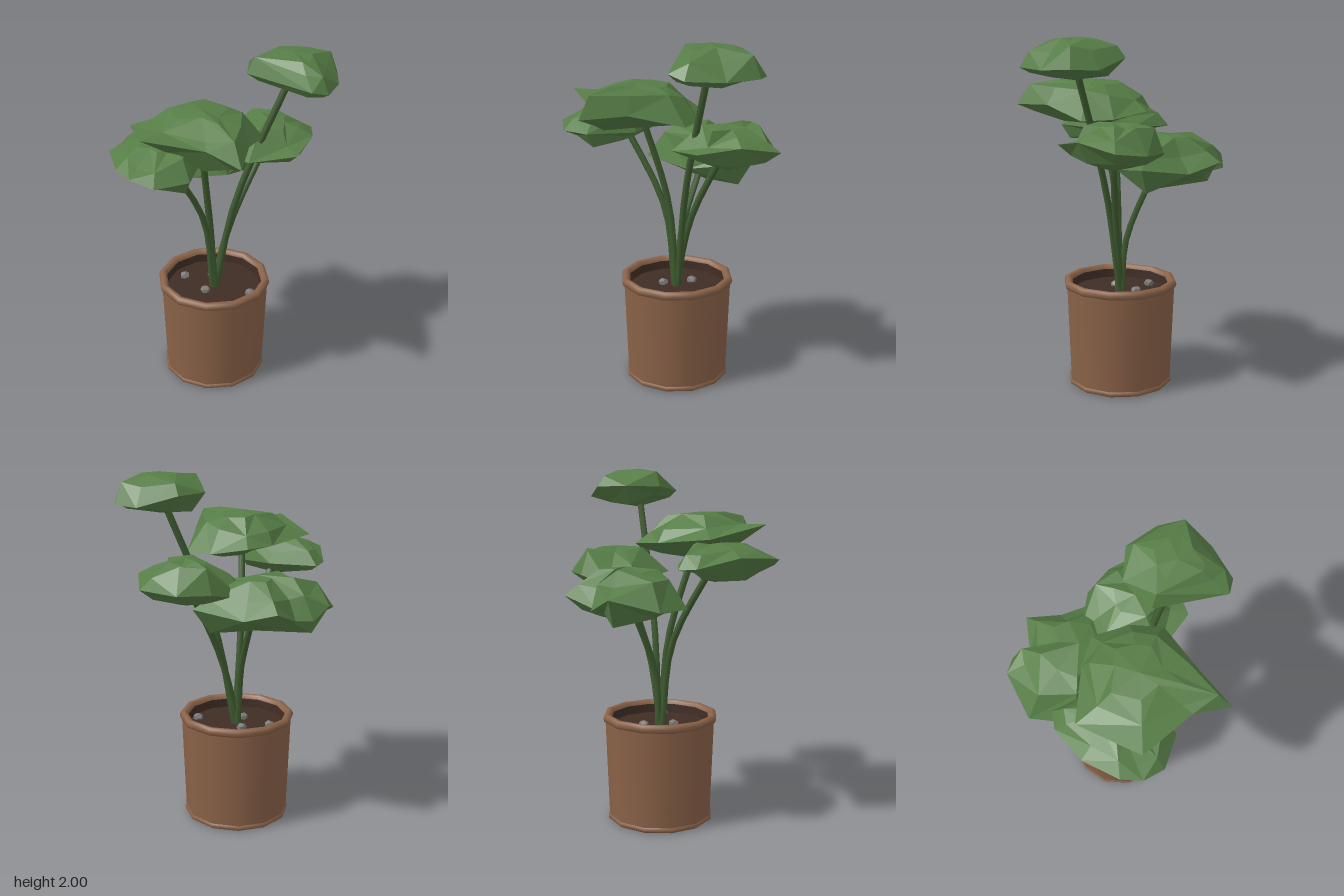
import * as THREE from 'three';

const mat = (color, extra = {}) => new THREE.MeshStandardMaterial({ color, ...extra });
const LEAF = mat(0x567d46, { flatShading: true });
const STEM = mat(0x3f5c30);
const CLAY = mat(0x8a6248, { side: THREE.DoubleSide });
const SOIL = mat(0x3f2d25, { side: THREE.DoubleSide });
const STONE = mat(0x7d7a78, { flatShading: true });

const PX = -0.03, PZ = -0.035; // pot axis

let seed = 7;
const rand = () => (seed = (seed * 16807) % 2147483647) / 2147483647;

function add(parent, name, geometry, material, x = 0, y = 0, z = 0) {
  const mesh = new THREE.Mesh(geometry, material);
  mesh.name = name;
  mesh.position.set(x, y, z);
  parent.add(mesh);
  return mesh;
}

// Faceted leaf mass: uneven rings shrunk from the outline [x, z] towards the core,
// with the outline's height leaning along x, capped above and below
function clumpGeometry({ outline, core: [cx, cz], low, high, lean }) {
  const n = outline.length, h = high - low;
  const ring = (scale, wobble, from, to, tilt) => outline.map(([x, z]) => {
    const k = scale + (rand() - 0.5) * wobble;
    const level = from + (to - from) * rand();
    return [cx + (x - cx) * k, low + h * level + tilt * (x - cx), cz + (z - cz) * k];
  });
  const loops = [
    ring(0.42, 0.2, 0.88, 1, 0),
    ring(0.74, 0.24, 0.58, 0.92, lean * 0.5),
    ring(1, 0, 0.32, 0.58, lean),
    ring(0.7, 0.3, 0.02, 0.36, 0),
  ];
  const pos = [...loops.flat(), [cx, high, cz], [cx, low, cz]].flat();
  const top = loops.length * n, bottom = top + 1, last = top - n;
  const index = [];
  for (let i = 0; i < n; i++) {
    const j = (i + 1) % n;
    index.push(top, j, i, bottom, last + i, last + j);
    for (let r = 0; r < loops.length - 1; r++) {
      const a = r * n + i, b = r * n + j, c = b + n, d = a + n;
      if ((i + r) % 2) index.push(a, b, c, a, c, d);
      else index.push(a, b, d, b, c, d);
    }
  }
  const g = new THREE.BufferGeometry();
  g.setAttribute('position', new THREE.Float32BufferAttribute(pos, 3));
  g.setIndex(index);
  const flat = g.toNonIndexed();
  flat.computeVertexNormals();
  return flat;
}

// Each clump: height range, core [x, z], bend of its stem, outline running left-back-right-front
const CLUMPS = [
  { name: 'topClump', low: 1.78, high: 2, lean: -0.12, core: [0.35, 0.14], bend: [0.08, 1.12, 0.02],
    outline: [[0.11, 0.09], [0.2, -0.09], [0.39, -0.14], [0.58, -0.04], [0.64, 0.09],
      [0.56, 0.26], [0.42, 0.41], [0.32, 0.42]] },
  { name: 'largeClump', low: 1.5, high: 1.76, lean: -0.14, core: [-0.17, 0.13], bend: [-0.07, 1.05, -0.01],
    outline: [[-0.48, -0.1], [-0.17, -0.18], [0, -0.19], [0.14, -0.03], [0.19, 0.14],
      [0, 0.38], [-0.135, 0.6], [-0.25, 0.43], [-0.54, 0.27]] },
  { name: 'leftClump', low: 1.39, high: 1.61, lean: -0.08, core: [-0.36, 0.06], bend: [-0.1, 1.02, -0.01],
    outline: [[-0.62, -0.02], [-0.5, -0.21], [-0.41, -0.26], [-0.22, -0.08], [-0.17, 0.15],
      [-0.32, 0.38], [-0.51, 0.38], [-0.61, 0.3], [-0.645, 0.19]] },
  { name: 'rightClump', low: 1.3, high: 1.56, lean: 0.14, core: [0.31, -0.06], bend: [0.08, 0.98, -0.03],
    outline: [[0, -0.18], [0.1, -0.3], [0.31, -0.33], [0.48, -0.27], [0.62, -0.13],
      [0.52, 0.08], [0.35, 0.23], [0.1, 0.15]] },
  { name: 'backClump', low: 1.16, high: 1.47, lean: 0, core: [-0.01, -0.26], bend: [-0.03, 0.85, -0.07],
    outline: [[-0.43, -0.4], [-0.25, -0.59], [-0.135, -0.61], [-0.08, -0.53], [0.09, -0.61],
      [0.19, -0.45], [0.36, -0.22], [0.05, -0.03], [-0.37, -0.15]] },
];

export function createModel() {
  const model = new THREE.Group();
  model.name = 'pottedPlant';

  // Pot: tapered wall, base, rounded rim and foot
  const pot = new THREE.Group();
  pot.name = 'pot';
  pot.position.set(PX, 0, PZ);
  model.add(pot);
  const turned = (pts) => new THREE.LatheGeometry(pts.map(([r, y]) => new THREE.Vector2(r, y)), 12);
  add(pot, 'potWall', turned([[0.297, 0.02], [0.318, 0.59]]), CLAY);
  add(pot, 'potBase', new THREE.CylinderGeometry(0.297, 0.292, 0.02, 12), CLAY, 0, 0.01, 0);
  add(pot, 'potFoot', turned([[0.292, 0], [0.303, 0.008], [0.305, 0.022], [0.296, 0.032]]), CLAY);
  add(pot, 'potRim', turned([[0.312, 0.575], [0.325, 0.583], [0.331, 0.602], [0.324, 0.62],
    [0.306, 0.625], [0.29, 0.618], [0.283, 0.6]]), CLAY);
  add(pot, 'potInnerWall', turned([[0.283, 0.6], [0.28, 0.54]]), SOIL);
  add(pot, 'soil', new THREE.CylinderGeometry(0.281, 0.281, 0.02, 12), SOIL, 0, 0.54, 0);

  // Pebbles on the soil
  for (const [x, z] of [[-0.07, 0.04], [0.03, -0.1], [-0.13, -0.15], [0.16, 0.17]]) {
    const stone = add(pot, 'pebble', new THREE.DodecahedronGeometry(0.03), STONE, x, 0.56, z);
    stone.scale.y = 0.8;
    stone.rotation.y = rand() * 6;
  }

  // Bent stems, each ending inside its leaf clump
  CLUMPS.forEach((clump, i) => {
    const { name, low, high, bend, core } = clump;
    const angle = (i / CLUMPS.length) * Math.PI * 2;
    const path = new THREE.CatmullRomCurve3([
      new THREE.Vector3(PX + 0.012 * Math.cos(angle), 0.54, PZ + 0.012 * Math.sin(angle)),
      new THREE.Vector3(...bend),
      new THREE.Vector3(core[0], (low + high) / 2, core[1]),
    ]);
    add(model, name + 'Stem', new THREE.TubeGeometry(path, 8, 0.019, 6), STEM);
    add(model, name, clumpGeometry(clump), LEAF);
  });
  return model;
}
